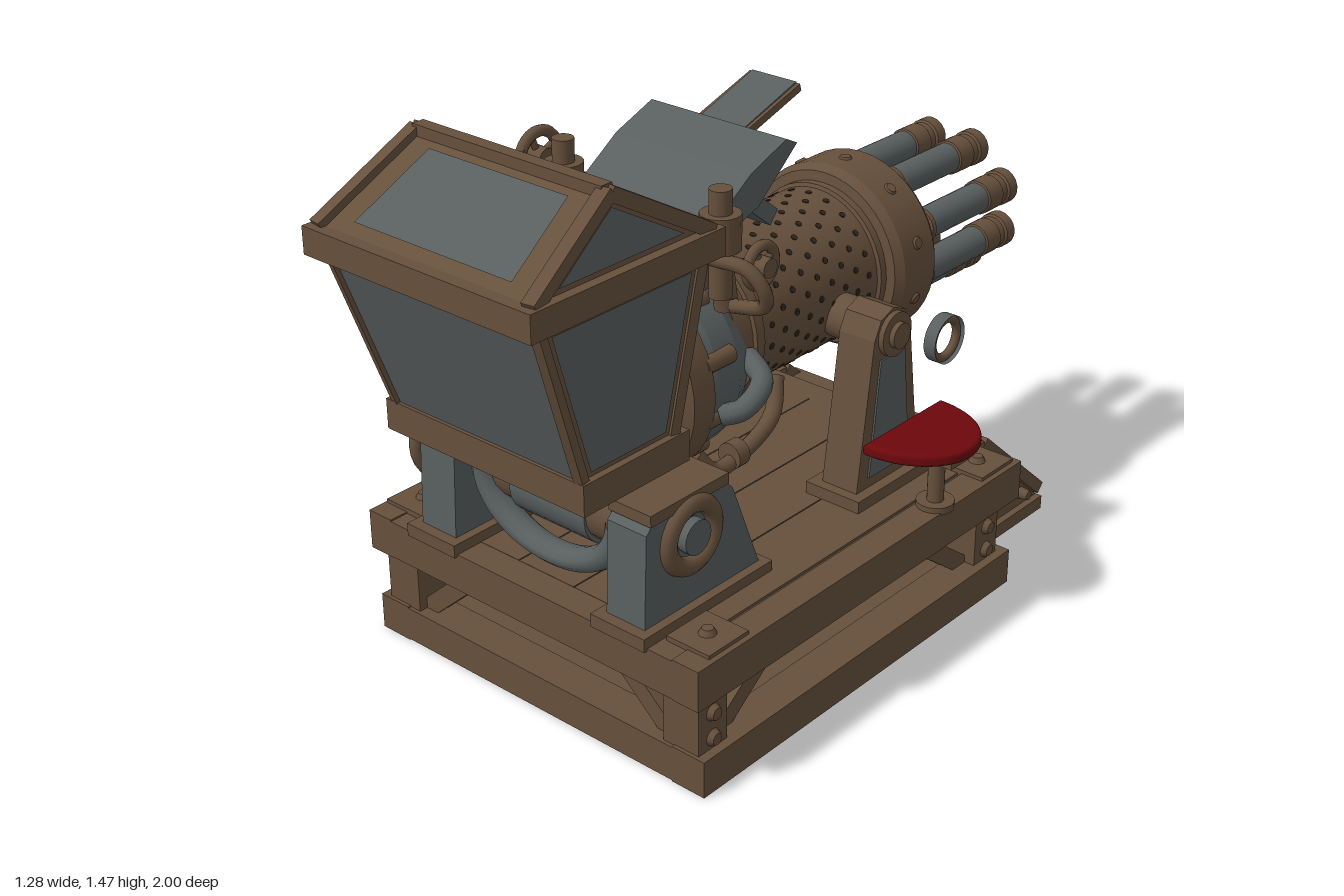
import * as THREE from 'three';
import { mergeGeometries } from 'three/addons/utils/BufferGeometryUtils.js';
import { ConvexGeometry } from 'three/addons/geometries/ConvexGeometry.js';

const mat = (name, color, side) => Object.assign(new THREE.MeshStandardMaterial({ color, side }), { name });
const V = (x, y, z) => new THREE.Vector3(x, y, z);

export function createModel() {
  const root = new THREE.Group();
  root.name = 'mountedRotaryCannon';
  const wood = mat('brown', 0x66503c, THREE.FrontSide), steel = mat('slateGrey', 0x595f5f, THREE.DoubleSide);
  const red = mat('red', 0x6d080c, THREE.FrontSide), dark = mat('darkBrown', 0x2f251c, THREE.FrontSide);
  const CX = 0.025; // centre line of the mount

  const add = (name, geo, m) => {
    const mesh = new THREE.Mesh(geo, m);
    mesh.name = name;
    root.add(mesh);
    return mesh;
  };
  // Box given by its limits
  const box = (name, m, x0, x1, y0, y1, z0, z1) => add(name, new THREE.BoxGeometry(x1 - x0, y1 - y0, z1 - z0)
    .translate((x0 + x1) / 2, (y0 + y1) / 2, (z0 + z1) / 2), m);
  // Round rod or square bar between two points
  const span = (name, geo, m, a, b) => {
    const mesh = add(name, geo, m);
    mesh.position.lerpVectors(a, b, 0.5);
    mesh.lookAt(b);
  };
  const rod = (name, m, a, b, r, r2 = r, n = 20) =>
    span(name, new THREE.CylinderGeometry(r2, r, a.distanceTo(b), n).rotateX(Math.PI / 2), m, a, b);
  const bar = (name, m, a, b, w, d = w) => span(name, new THREE.BoxGeometry(w, d, a.distanceTo(b)), m, a, b);
  // Side outline of [z, y] points, extruded across x
  const slab = (name, m, pts, x0, x1) => {
    const shape = new THREE.Shape(pts.map(([z, y]) => new THREE.Vector2(-z, y)));
    const geo = new THREE.ExtrudeGeometry(shape, { depth: x1 - x0, bevelEnabled: false });
    add(name, geo.rotateY(Math.PI / 2).translate(x0, 0, 0), m);
  };
  const tube = (name, m, r, pts) =>
    add(name, new THREE.TubeGeometry(new THREE.CatmullRomCurve3(pts.map(p => V(...p))), 24, r, 10), m);
  // Turned part along -z, profile of [radius, z] points
  const turned = (name, m, pts, x, y, seg = 40) => {
    const geo = mergeGeometries(pts.slice(1).map((p, i) =>
      new THREE.LatheGeometry([pts[i], p].map(([r, z]) => new THREE.Vector2(r, -z)), seg)));
    add(name, geo.rotateX(-Math.PI / 2).translate(x, y, 0), m);
  };
  const ring = (name, m, x, y, z, r, t) =>
    add(name, new THREE.TorusGeometry(r, t, 10, 28).rotateY(Math.PI / 2).translate(x, y, z), m);
  const sightRing = (x, z) => {
    ring('sightRing', wood, x, 0.71, z, 0.054, 0.012);
    add('sightRingBand', new THREE.CylinderGeometry(0.066, 0.066, 0.036, 28, 1, true).rotateZ(Math.PI / 2)
      .translate(x, 0.71, z), steel);
  };
  const handwheel = (x, y, z, r, t) => {
    ring('handwheelRim', wood, x, y, z, r, t);
    rod('handwheelHub', wood, V(x - 0.03, y, z), V(x + 0.03, y, z), t * 1.8);
    for (let a = 0.4; a < 6; a += Math.PI / 2)
      rod('handwheelSpoke', wood, V(x, y, z), V(x, y + r * Math.cos(a), z + r * Math.sin(a)), t * 0.6, t * 0.6, 8);
  };

  // Platform: sled, posts, braces and deck
  box('sledPlate', wood, -0.5, 0.55, 0.015, 0.05, -0.53, 0.66);
  box('deck', wood, -0.51, 0.56, 0.28, 0.35, -0.57, 0.69);
  for (const x of [-0.53, 0.48]) box('sledSideBeam', wood, x, x + 0.1, 0, 0.1, -0.56, 0.69);
  for (const z of [-0.56, 0.59]) box('sledCrossBeam', wood, -0.52, 0.57, 0.003, 0.097, z, z + 0.1);
  for (const x of [-0.53, 0.5]) box('deckSideBeam', wood, x, x + 0.08, 0.25, 0.36, -0.59, 0.71);
  for (const z of [-0.59, 0.63]) box('deckCrossBeam', wood, -0.525, 0.575, 0.252, 0.356, z, z + 0.08);
  for (let x = -0.445; x < 0.4; x += 0.187) box('deckPlank', wood, x, x + 0.184, 0.34, 0.357, -0.51, 0.63);
  for (const sx of [-1, 1]) for (const [z, s] of [[0.63, -1], [-0.48, 1]]) {
    const x = CX + sx * 0.475;
    box('post', wood, x - 0.055, x + 0.055, 0.08, 0.27, z - 0.05, z + 0.05);
    bar('sideBrace', wood, V(x, 0.09, z + s * 0.05), V(x, 0.27, z + s * 0.29), 0.05);
    bar('endBrace', wood, V(x - sx * 0.05, 0.09, z), V(x - sx * 0.25, 0.27, z), 0.05);
    for (const y of [0.13, 0.2]) rod('postBolt', wood, V(x + sx * 0.05, y, z), V(x + sx * 0.07, y, z), 0.025, 0.016, 12);
  }
  for (const [x, z] of [[-0.41, -0.5], [0.5, -0.5], [0.5, 0.585], [-0.46, 0.585]]) {
    box('cornerPlate', wood, x - 0.065, x + 0.065, 0.35, 0.37, z - 0.07, z + 0.07);
    rod('cornerBolt', wood, V(x, 0.365, z), V(x, 0.385, z), 0.025, 0.015, 12);
  }
  // Pedestal with a loose knob above
  add('pedestal', new THREE.LatheGeometry([[0.035, 0.36], [0.035, 0.38], [0.015, 0.4], [0.015, 0.43], [0.035, 0.45],
    [0.03, 0.46], [0, 0.46]].map(p => new THREE.Vector2(...p)), 18).translate(-0.41, 0, -0.5), wood);
  rod('pedestalKnob', wood, V(-0.41, 0.49, -0.49), V(-0.41, 0.54, -0.49), 0.027);
  // Rear steps
  for (const [x, s] of [[-0.36, -1], [0.33, 1]]) {
    slab('stepSide', wood, [[-0.58, 0], [-0.95, 0], [-0.95, 0.08], [-0.66, 0.34], [-0.58, 0.34]], x + 0.02, x + 0.08);
    bar('stepRail', wood, V(x + 0.05, 0.07, -0.945), V(x + 0.05, 0.335, -0.645), 0.1, 0.035);
    box('stepFoot', wood, x, x + 0.1, 0, 0.04, -0.955, -0.58);
    box('stepBackPost', wood, x, x + 0.1, 0, 0.345, -0.64, -0.58);
    for (const [y, z] of [[0.23, -0.69], [0.16, -0.76], [0.08, -0.87]])
      rod('stepBolt', wood, V(x + 0.05, y, z), V(x + 0.05 + s * 0.06, y, z), 0.022, 0.014, 10);
  }
  for (const [y, z] of [[0.05, -0.92], [0.14, -0.84], [0.26, -0.72]])
    box('stepTread', wood, -0.29, 0.36, y, y + 0.045, z, z + 0.13);
  // Elbow pipe and drain on the platform side
  rod('pipeFlange', wood, V(-0.56, 0.28, -0.28), V(-0.52, 0.28, -0.28), 0.045);
  tube('elbowPipe', wood, 0.02, [[-0.54, 0.275, -0.28], [-0.59, 0.275, -0.28], [-0.61, 0.3, -0.28], [-0.61, 0.36, -0.28]]);
  rod('pipeEnd', wood, V(-0.61, 0.32, -0.28), V(-0.61, 0.43, -0.28), 0.025);
  rod('drainPipe', wood, V(-0.53, 0.145, -0.3), V(-0.53, 0.145, -0.21), 0.022);
  // Seats: half discs on stems
  for (const [x, s, r] of [[0.44, 1, 0.19], [-0.34, -1, 0.205]]) {
    const shape = new THREE.Shape(), z = -0.255, sx = x + s * 0.1;
    shape.absellipse(0, 0, r, 0.152, -Math.PI / 2, Math.PI / 2);
    add('seat', new THREE.ExtrudeGeometry(shape, { depth: 0.014, bevelSize: 0.012, bevelThickness: 0.01, curveSegments: 20 })
      .rotateX(-Math.PI / 2).rotateY(s < 0 ? Math.PI : 0).translate(x, 0.538, z), red);
    rod('seatStem', wood, V(sx, 0.35, z), V(sx, 0.53, z), 0.022);
    box('seatBracket', wood, sx - 0.07, sx + 0.07, 0.5, 0.53, z - 0.04, z + 0.04);
    rod('seatFoot', wood, V(sx, 0.355, z), V(sx, 0.375, z), 0.05);
  }
  // Trunnion stands carrying the gun, with sight rings
  for (const s of [-1, 1]) {
    const x = CX + s * 0.31, z = -0.25, px = x + s * 0.056;
    box('trunnionBase', wood, x - 0.085, x + 0.085, 0.35, 0.39, -0.41, -0.09);
    slab('trunnionStand', wood, [[-0.12, 0.39], [-0.175, 0.8], [-0.2, 0.85], [-0.25, 0.87], [-0.3, 0.85], [-0.325, 0.8],
      [-0.38, 0.39]], x - 0.055, x + 0.055);
    slab('trunnionPanel', steel, [[-0.165, 0.42], [-0.2, 0.74], [-0.3, 0.74], [-0.335, 0.42]], px - 0.004, px + 0.004);
    rod('trunnionBearing', wood, V(x - 0.12 * s, 0.8, z), V(x + 0.07 * s, 0.8, z), 0.06);
    rod('trunnionCap', wood, V(x + 0.07 * s, 0.8, z), V(x + 0.085 * s, 0.8, z), 0.035);
    sightRing(CX + s * 0.375, -0.465);
  }
  sightRing(-0.3, -0.03);

  // Gun body, muzzle collar and rear rings
  turned('gunBody', wood, [[0, 0.16], [0.205, 0.16], [0.205, -0.46]], CX, 0.843);
  for (const z of [0.085, -0.415])
    turned('gunBand', wood, [[0.2, z + 0.02], [0.215, z + 0.015], [0.215, z - 0.015], [0.2, z - 0.02]], CX, 0.843);
  turned('muzzleCollar', wood, [[0.2, -0.42], [0.24, -0.425], [0.255, -0.45], [0.255, -0.58], [0.24, -0.6], [0, -0.6]], CX, 0.845);
  turned('rearCollar', steel, [[0, 0.33], [0.24, 0.33], [0.25, 0.28], [0.245, 0.2], [0.21, 0.13], [0, 0.13]], CX, 0.8);
  turned('rearRing', wood, [[0, 0.4], [0.23, 0.4], [0.262, 0.385], [0.262, 0.31], [0.24, 0.3], [0, 0.3]], CX, 0.795);
  for (let a = 0; a < 6.2; a += Math.PI / 5) {
    const x = Math.sin(a), y = Math.cos(a);
    rod('collarLug', wood, V(CX + 0.24 * x, 0.8 + 0.24 * y, 0.22), V(CX + 0.24 * x, 0.8 + 0.24 * y, 0.32), 0.024);
    rod('collarRivet', wood, V(CX + 0.25 * x, 0.845 + 0.25 * y, -0.515), V(CX + 0.26 * x, 0.845 + 0.26 * y, -0.515), 0.02, 0.014);
  }
  // Perforations around the body
  const holes = [];
  for (let j = 0; j < 9; j++) for (let i = 0; i < 22; i++)
    holes.push(new THREE.CylinderGeometry(0.009, 0.009, 0.006, 8).translate(0, 0.204, 0)
      .rotateZ((i + (j % 2) / 2) * Math.PI / 11).translate(CX, 0.843, 0.03 - j * 0.049));
  add('perforations', mergeGeometries(holes), dark);
  // Eight hollow barrels
  for (let i = 0; i < 8; i++) {
    const a = (i + 0.5) * Math.PI / 4, x = CX + 0.005 + 0.188 * Math.sin(a), y = 0.86 + 0.167 * Math.cos(a);
    turned('barrel', steel, [[0.043, -0.58], [0.043, -0.92]], x, y, 18);
    turned('barrelCuff', wood, [[0.043, -0.6], [0.05, -0.605], [0.05, -0.62], [0.043, -0.625]], x, y, 18);
    turned('barrelTip', wood, [[0.04, -0.87], [0.048, -0.875], [0.048, -0.935], [0.044, -0.94], [0.044, -0.96],
      [0.05, -0.965], [0.05, -1], [0.036, -1], [0.036, -0.9], [0, -0.9]], x, y, 18);
  }

  // Shield hood over the breech, with tab and rear flap
  slab('shieldHood', steel, [[0.3, 1.14], [0.25, 1.22], [0.13, 1.3], [0, 1.35], [-0.04, 1.33], [0.1, 1.21], [0.22, 1.17]],
    CX - 0.215, CX + 0.215);
  box('shieldRim', wood, CX - 0.23, CX + 0.23, 1.07, 1.17, 0.29, 0.37);
  bar('shieldTab', wood, V(CX, 1.32, 0), V(CX, 1.39, -0.22), 0.16, 0.02);
  bar('shieldTabFace', steel, V(CX, 1.332, -0.005), V(CX, 1.402, -0.215), 0.14, 0.004);
  bar('rearFlap', steel, V(CX - 0.02, 1.24, 0.09), V(CX - 0.02, 1.085, -0.105), 0.23, 0.045);
  // Breech fittings: valves, wheels and hoses
  for (const s of [-1, 1]) {
    const P = (x, y, z) => [CX + s * x, y, z];
    rod('hoodPost', wood, V(...P(0.2, 0.98, 0.2)), V(...P(0.2, 1.22, 0.24)), 0.03);
    rod('valveStem', wood, V(...P(0.25, 1.05, 0.28)), V(...P(0.25, 1.32, 0.28)), 0.028);
    rod('valveCap', wood, V(...P(0.25, 1.17, 0.28)), V(...P(0.25, 1.26, 0.28)), 0.05);
    tube('feedPipe', steel, 0.028, [P(0.24, 0.73, 0.27), P(0.28, 0.745, 0.23), P(0.28, 0.79, 0.16), P(0.2, 0.82, 0.12)]);
    tube('lowerHose', wood, 0.022, [P(0.14, 0.58, 0.25), P(0.16, 0.52, 0.2), P(0.16, 0.53, 0.08), P(0.15, 0.58, -0.04), P(0.12, 0.66, -0.09)]);
    rod('hoseNut', wood, V(...P(0.16, 0.535, 0.14)), V(...P(0.16, 0.535, 0.1)), 0.036);
  }
  tube('breechHose', wood, 0.018, [[0.265, 1.15, 0.3], [0.355, 1.14, 0.28], [0.39, 1.09, 0.26], [0.375, 1.04, 0.24], [0.265, 1, 0.22]]);
  tube('crankHandle', wood, 0.016, [[-0.3, 1.27, 0.32], [-0.34, 1.22, 0.33], [-0.33, 1.15, 0.34], [-0.38, 1.07, 0.35]]);
  handwheel(0.305, 1.1, 0.17, 0.05, 0.014);
  handwheel(-0.33, 1.24, 0.26, 0.065, 0.015);
  handwheel(-0.27, 0.92, 0.25, 0.045, 0.014);

  // Front stands, axle and cradle
  for (const s of [-1, 1]) {
    const x = CX + s * 0.315;
    box('frontStandBase', wood, x - 0.085, x + 0.085, 0.35, 0.385, 0.26, 0.72);
    slab('frontStand', steel, [[0.28, 0.38], [0.38, 0.63], [0.42, 0.67], [0.64, 0.67], [0.68, 0.63], [0.69, 0.38]], x - 0.06, x + 0.06);
    box('frontStandCap', wood, x - 0.065, x + 0.065, 0.65, 0.68, 0.4, 0.67);
    ring('axleRing', wood, x + s * 0.06, 0.57, 0.53, 0.08, 0.025);
    rod('axleEnd', steel, V(x, 0.57, 0.53), V(x + s * 0.085, 0.57, 0.53), 0.045);
    rod('axleCollar', wood, V(CX + s * 0.12, 0.56, 0.53), V(CX + s * 0.2, 0.56, 0.53), 0.09);
    rod('axle', wood, V(CX, 0.56, 0.53), V(x, 0.56, 0.53), 0.06);
  }
  rod('axleDrum', steel, V(CX - 0.125, 0.55, 0.53), V(CX + 0.125, 0.55, 0.53), 0.095);
  add('cradleArc', new THREE.TorusGeometry(0.225, 0.04, 10, 32, Math.PI).rotateZ(Math.PI).scale(1, 0.72, 1).translate(CX, 0.57, 0.6), steel);
  handwheel(-0.4, 0.57, 0.53, 0.12, 0.02);
  rod('wheelGrip', steel, V(-0.48, 0.575, 0.6), V(-0.4, 0.575, 0.6), 0.025);

  // Cabin: tapered body, eaves and gabled roof
  rod('cabinNeck', steel, V(-0.1, 0.68, 0.6), V(0.18, 0.68, 0.6), 0.055);
  box('cabinMount', wood, -0.14, 0.19, 0.64, 0.74, 0.38, 0.6);
  box('cabinEaves', wood, -0.33, 0.385, 1.22, 1.29, 0.39, 1.0);
  box('cabinSill', wood, -0.3, 0.345, 0.72, 0.8, 0.47, 0.82);
  const rect = (x0, x1, y, z0, z1) => [V(x0, y, z1), V(x1, y, z1), V(x1, y, z0), V(x0, y, z0)];
  const top = rect(-0.305, 0.35, 1.23, 0.43, 0.95), low = rect(-0.27, 0.325, 0.78, 0.51, 0.8);
  const eave = rect(-0.305, 0.36, 1.285, 0.415, 0.975), ridge = [V(-0.265, 1.45, 0.7), V(0.32, 1.45, 0.7)];
  add('cabinBody', new ConvexGeometry([...top, ...low]), wood);
  add('cabinRoof', new ConvexGeometry([...eave, ...ridge]), wood);
  // Flat panel just proud of a cabin face, shrunk towards the face centre
  const panel = (name, k, ...pts) => {
    const c = pts.reduce((a, p) => a.add(p), V(0, 0, 0)).divideScalar(pts.length);
    const n = pts[1].clone().sub(pts[0]).cross(pts[2].clone().sub(pts[0])).normalize();
    const q = pts.map(p => c.clone().lerp(p, k).addScaledVector(n, 0.004));
    const geo = new THREE.BufferGeometry().setFromPoints([0, 1, 2, 0, 2, 3].slice(0, q.length * 3 - 6).map(i => q[i]));
    geo.computeVertexNormals();
    add(name, geo, steel);
  };
  for (let i = 0; i < 4; i++) {
    const j = (i + 1) % 4;
    bar('cabinCornerPost', wood, low[i], top[i], 0.025);
    bar('roofEdge', wood, eave[i], ridge[i === 1 || i === 2 ? 1 : 0], 0.035);
    if (i !== 2) panel('cabinPanel', i ? 0.85 : 0.98, low[i], low[j], top[j], top[i]);
  }
  bar('roofRidge', wood, ridge[0], ridge[1], 0.035);
  for (const [i, j] of [[0, 1], [1, 0]]) {
    panel('roofPanel', 0.74, eave[2 * i], eave[2 * i + 1], ridge[j], ridge[i]);
    panel('gablePanel', 0.7, eave[2 * i + 1], eave[(2 * i + 2) % 4], ridge[j]);
  }
  return root;
}
